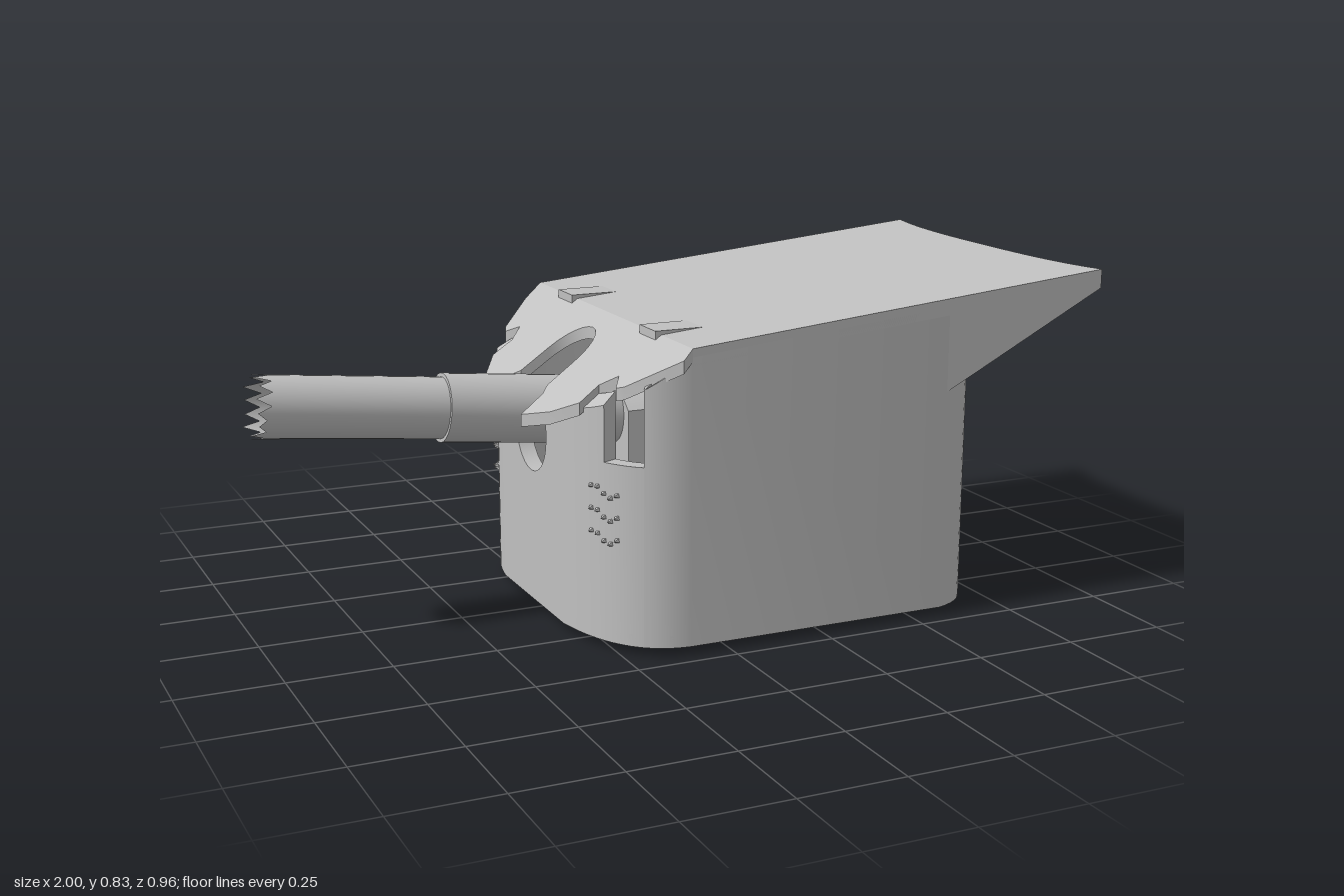
import * as THREE from 'three';
import { toCreasedNormals } from 'three/addons/utils/BufferGeometryUtils.js';

export function createModel() {
  const model = new THREE.Group();
  const grey = new THREE.MeshStandardMaterial({ color: 0xc0c0c0, side: THREE.DoubleSide });
  grey.name = 'plain grey';

  const add = (name, geo, crease = 0.6) => {
    const mesh = new THREE.Mesh(toCreasedNormals(geo, crease), grey);
    mesh.name = name;
    model.add(mesh);
    return mesh;
  };

  // Extrudes a plan outline of [x, z] points between two height rules
  const slab = (name, pts, bottom, top, hole) => {
    const shape = new THREE.Shape(pts.map(([x, z]) => new THREE.Vector2(x, -z)));
    if (hole) shape.holes.push(hole);
    const geo = new THREE.ExtrudeGeometry(shape, { depth: 1, bevelEnabled: false, curveSegments: 24 });
    geo.rotateX(-Math.PI / 2);
    const p = geo.attributes.position;
    for (let i = 0; i < p.count; i++) p.setY(i, p.getY(i) > 0.5 ? top(p.getX(i)) : bottom(p.getX(i)));
    return add(name, geo);
  };

  const HALF = 0.47, BASE = 0.02, THICK = 0.04;
  const roofTop = (x) => (x >= -0.1 ? 0.722 + 0.094 * (x + 0.1) : 0.722 + 0.714 * (x + 0.1));
  const wallTop = (x) => roofTop(x) - 0.02;
  const eaves = (x) => 0.56 + 0.51 * (x - 0.57);
  const bend = (a, c, b, n) => new THREE.QuadraticBezierCurve(
    new THREE.Vector2(...a), new THREE.Vector2(...c), new THREE.Vector2(...b)
  ).getPoints(n).map((p) => [p.x, p.y]);

  // Half of the footprint: rear corner, long side, front corner
  const rearCorner = bend([0.70, 0.30], [0.685, 0.44], [0.57, HALF], 10);
  const frontCorner = bend([-0.1, HALF], [-0.27, 0.46], [-0.31, 0.2], 20);

  // Wall of even thickness following a path
  const wall = (name, path, sign, top) => {
    const inner = path.map(([x, z], i) => {
      const a = path[Math.max(i - 1, 0)], b = path[Math.min(i + 1, path.length - 1)];
      const dx = b[0] - a[0], dz = b[1] - a[1], l = Math.hypot(dx, dz);
      return [x - dz / l * THICK, z + dx / l * THICK];
    });
    slab(name, [...path, ...inner.reverse()].map(([x, z]) => [x, z * sign]), () => BASE, top);
  };
  for (const s of [1, -1]) {
    wall('sideWall', [...rearCorner, ...frontCorner.slice(0, 8)], s, wallTop);
    wall('cornerWallBelowWindow', frontCorner.slice(7, 14), s, () => 0.45);
    wall('frontCornerWall', frontCorner.slice(13), s, wallTop);
  }

  // Upright end panels, drawn in z and y
  const panel = (name, shape, x, depth = THICK) => {
    const geo = new THREE.ExtrudeGeometry(shape, { depth, bevelEnabled: false, curveSegments: 16 });
    geo.rotateY(Math.PI / 2);
    geo.translate(x, 0, 0);
    return add(name, geo);
  };
  const rear = new THREE.Shape();
  rear.moveTo(-0.3, BASE).lineTo(0.3, BASE).lineTo(0.3, 0.72).lineTo(-0.3, 0.72).closePath();
  const door = new THREE.Path();
  door.moveTo(-0.11, 0.44).lineTo(0.11, 0.44).lineTo(0.11, 0.6);
  door.bezierCurveTo(0.11, 0.645, 0.06, 0.672, 0, 0.672);
  door.bezierCurveTo(-0.06, 0.672, -0.11, 0.645, -0.11, 0.6);
  door.closePath();
  rear.holes.push(door);
  panel('rearWallWithDoor', rear, 0.70 - THICK);

  const front = new THREE.Shape();
  front.moveTo(-0.2, BASE).lineTo(0.2, BASE).lineTo(0.2, 0.55).lineTo(0.1, 0.55).lineTo(0.1, 0.45);
  front.absarc(0, 0.45, 0.1, 0, Math.PI, true);
  front.lineTo(-0.1, 0.55).lineTo(-0.2, 0.55).closePath();
  panel('frontWallWithSlot', front, -0.31);

  // Cradle behind the slot
  const cradle = new THREE.Shape();
  cradle.moveTo(-0.11, 0.36).lineTo(0.11, 0.36).lineTo(0.11, 0.5);
  cradle.quadraticCurveTo(0, 0.6, -0.11, 0.5).closePath();
  panel('barrelCradle', cradle, -0.1, 0.1);

  // Floor with its round opening and ragged rim
  const floorHalf = [...rearCorner, ...frontCorner];
  const opening = new THREE.Path().absellipse(0.15, 0.015, 0.3, 0.32, 0, Math.PI * 2, true);
  slab('floor', [...floorHalf, ...floorHalf.map(([x, z]) => [x, -z]).reverse()],
    () => BASE, () => BASE + 0.03, opening);
  const rim = new THREE.CylinderGeometry(1, 1, 0.02, 64, 1, true);
  rim.scale(0.3, 1, 0.32);
  rim.translate(0.15, 0.01, -0.015);
  const rp = rim.attributes.position;
  for (let i = 0; i < rp.count; i++) if (rp.getY(i) < 0.01) rp.setY(i, 0.004 * (1 + Math.sin(i * 2.7)));
  add('openingRim', rim);

  // Roof: flat slab, flared rear overhang and sloping front hood
  slab('roof', [[-0.1, -HALF], [0.57, -HALF], [0.57, HALF], [-0.1, HALF]], (x) => roofTop(x) - 0.04, roofTop);
  const edge = [];
  for (let i = -8; i <= 8; i++) edge.push([0.968 + 0.032 * Math.abs(i / 8) ** 3, HALF * i / 8]);
  slab('overhang', [[0.57, -HALF], ...edge, [0.57, HALF], [0.57, 0.11], [0.785, 0.11], [0.785, -0.11], [0.57, -0.11]],
    eaves, roofTop);
  slab('doorLintel', [[0.57, -0.11], [0.785, -0.11], [0.785, 0.11], [0.57, 0.11]], () => 0.672, roofTop);

  const hoodSide = [[-0.1, HALF], [-0.15, 0.45], [-0.23, 0.385], [-0.24, 0.36], [-0.215, 0.32], [-0.25, 0.285],
    [-0.3, 0.29], [-0.345, 0.22], [-0.38, 0.12], [-0.32, 0.11], [-0.3, 0.088], [-0.23, 0.085]];
  const arc = [];
  for (let i = 1; i < 12; i++) {
    const a = Math.PI / 2 - Math.PI * i / 12;
    arc.push([-0.23 + 0.085 * Math.cos(a), 0.085 * Math.sin(a)]);
  }
  const leftHood = hoodSide.map(([x, z], i) => (i === 1 ? [-0.13, 0.488] : [x, z]));
  slab('frontHood', [...leftHood, ...arc, ...hoodSide.map(([x, z]) => [x, -z]).reverse()],
    (x) => roofTop(x) - 0.03, roofTop);

  // Raised pads on the front of the roof, rough patches on the front corners
  for (const s of [1, -1]) {
    const pad = add('roofPad', new THREE.BoxGeometry(0.13, 0.03, 0.09));
    pad.position.set(-0.05, 0.717, s * 0.255);
    for (let i = 0; i < 15; i++) {
      const [x, z] = frontCorner[11 + (i % 5)];
      const spike = add('roughSpike', new THREE.ConeGeometry(0.014, 0.03, 4), 0.1);
      spike.position.set(x, 0.27 + 0.055 * Math.floor(i / 5) + 0.012 * Math.sin(i * 5), z * s);
      spike.quaternion.setFromUnitVectors(new THREE.Vector3(0, 1, 0), new THREE.Vector3(-0.85, 0, 0.53 * s));
    }
  }

  // Hollow barrel, tilted up, with a torn muzzle and a thicker sleeve
  const barrel = new THREE.Group();
  barrel.name = 'barrel';
  const tube = (name, radius, from, to, torn) => {
    const geo = new THREE.CylinderGeometry(radius, radius, to - from, 28, 1, true);
    geo.translate(0, (from + to) / 2, 0);
    const p = geo.attributes.position;
    for (let i = 0; torn && i < 29; i++) {
      p.setY(i, to - (i % 2 ? 0.035 + 0.012 * Math.sin(i * 3) : 0.006 * (1 + Math.sin(i * 2))));
    }
    p.setY(28, p.getY(0));
    const mesh = add(name, geo);
    barrel.add(mesh);
  };
  tube('barrelTube', 0.074, 0, 1.0, true);
  tube('barrelSleeve', 0.083, 0.02, 0.54, false);
  const step = new THREE.RingGeometry(0.073, 0.083, 28);
  step.rotateX(-Math.PI / 2);
  step.translate(0, 0.54, 0);
  barrel.add(add('sleeveEnd', step));
  barrel.position.set(0, 0.472, 0);
  barrel.rotation.z = Math.PI / 2 - 0.103;
  model.add(barrel);

  model.children.forEach((part) => { part.position.z -= 0.01; });
  return model;
}
